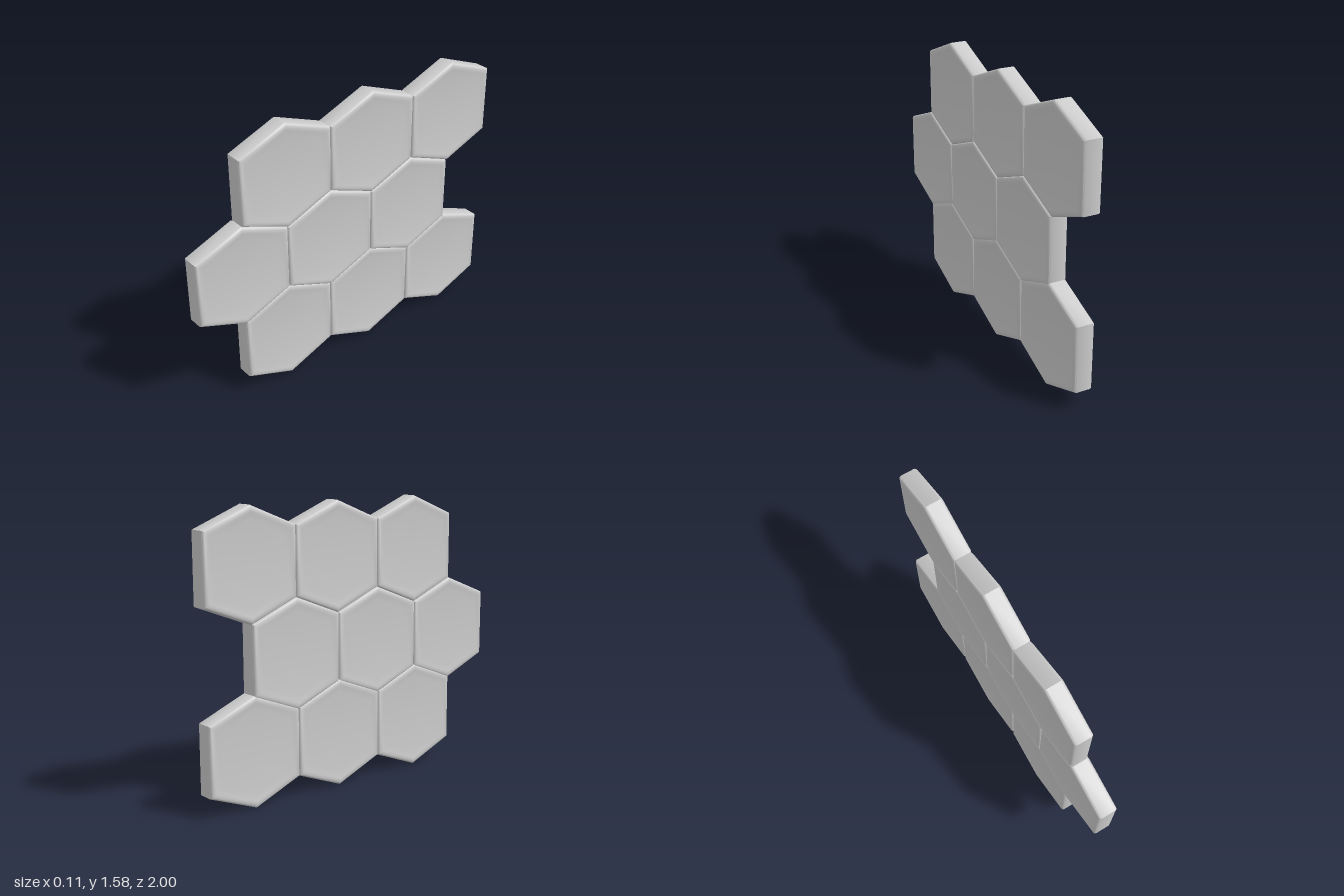
import * as THREE from 'three';
import { toCreasedNormals } from 'three/addons/utils/BufferGeometryUtils.js';

const HALF_W = 0.285, TIP = 0.3025, SHOULDER = 0.19;

// Hexagon corners as [z, y], counter-clockwise seen from +x
const corners = [
  [0, TIP], [HALF_W, SHOULDER], [HALF_W, -SHOULDER],
  [0, -TIP], [-HALF_W, -SHOULDER], [-HALF_W, SHOULDER],
];

// Half profile as [inset, x]: side wall, rounded edge, rim, shallow dish, centre
const half = [
  [0, 0.041], [0.004, 0.049], [0.012, 0.054], [0.026, 0.055],
  [0.036, 0.0535], [0.07, 0.048], [HALF_W, 0.048],
];

function tileGeometry() {
  const profile = [...half.map(([i, x]) => [i, -x]).reverse(), ...half];
  const rings = profile.map(([inset, x]) => {
    const s = 1 - inset / HALF_W;
    return corners.map(([z, y]) => [x, y * s, z * s]);
  });
  const pos = [];
  const last = rings.length - 2;
  for (let i = 0; i <= last; i++) {
    for (let k = 0; k < 6; k++) {
      const n = (k + 1) % 6;
      const a = rings[i][k], b = rings[i][n], c = rings[i + 1][n], d = rings[i + 1][k];
      // the first and last rings are single points, so they need one triangle only
      if (i > 0) pos.push(...a, ...b, ...c);
      if (i < last) pos.push(...a, ...c, ...d);
      if (i === 0) pos.push(...a, ...c, ...d);
      
    }
  }
  const geometry = new THREE.BufferGeometry();
  geometry.setAttribute('position', new THREE.Float32BufferAttribute(pos.filter(Number.isFinite), 3));
  return toCreasedNormals(geometry, 0.7);
}

export function createModel() {
  const model = new THREE.Group();
  model.name = 'hexagonPanel';
  const material = new THREE.MeshStandardMaterial({ color: 0xcccccc });
  const geometry = tileGeometry();

  // Three staggered rows of three tiles
  const rows = [
    { name: 'bottomRow', y: 0.3025, z: 0.435 },
    { name: 'middleRow', y: 0.785, z: 0.715 },
    { name: 'topRow', y: 1.2775, z: 0.425 },
  ];
  for (const { name, y, z } of rows) {
    const row = new THREE.Group();
    row.name = name;
    for (let i = 0; i < 3; i++) {
      const tile = new THREE.Mesh(geometry, material);
      tile.name = `hexagonTile${i + 1}`;
      tile.position.set(0, y, z - i * 0.57);
      row.add(tile);
    }
    model.add(row);
  }
  return model;
}
